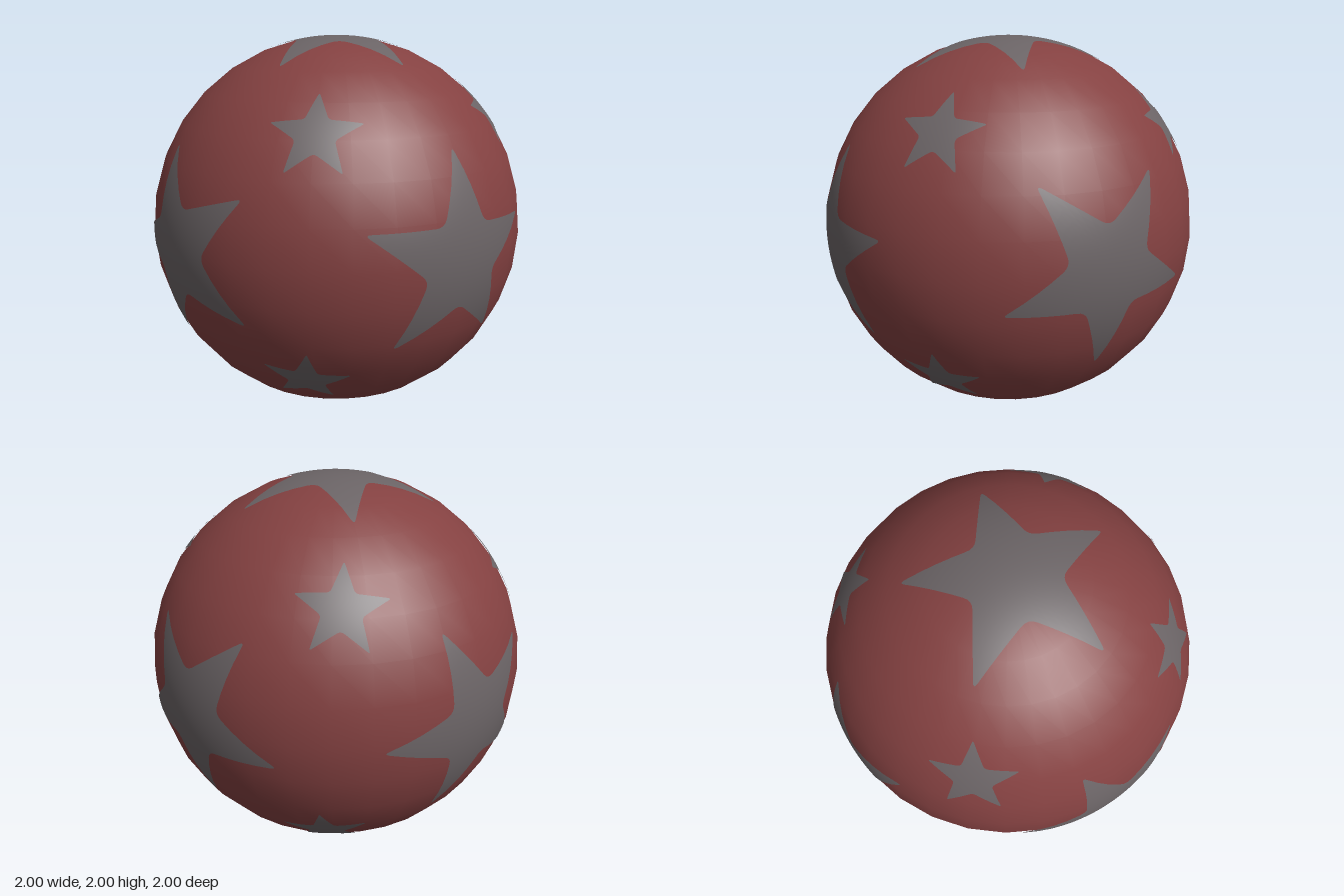
import * as THREE from 'three';

const red = new THREE.MeshStandardMaterial({ color: 0x844141 });
red.name = 'dull red';
const grey = new THREE.MeshStandardMaterial({ color: 0x6b6466 });
grey.name = 'warm grey';

// Five-pointed outline with softened tips and inner corners
function starOutline(radius, turn) {
  const corners = [];
  for (let i = 0; i < 10; i++) {
    const a = THREE.MathUtils.degToRad(turn + i * 36);
    const r = radius * (i % 2 ? 0.43 : 1.04);
    corners.push(new THREE.Vector2(Math.cos(a) * r, Math.sin(a) * r));
  }
  const points = [];
  corners.forEach((c, i) => {
    const soft = i % 2 ? 0.12 : 0.09;
    const from = c.clone().lerp(corners[(i + 9) % 10], soft);
    const to = c.clone().lerp(corners[(i + 1) % 10], soft);
    points.push(...new THREE.QuadraticBezierCurve(from, c, to).getPoints(4));
    // intermediate points keep the long edges on the ball
    for (const t of [0.3, 0.5, 0.7]) points.push(c.clone().lerp(corners[(i + 1) % 10], t));
  });
  return points;
}

// Star patch wrapped on the ball; turn is measured in the tangent plane from local right
function starPatch(direction, radius, turn, up) {
  const n = new THREE.Vector3(...direction).normalize();
  const right = new THREE.Vector3(...up).cross(n).normalize();
  const top = n.clone().cross(right);
  const outline = starOutline(radius, turn);
  const rings = 8, count = outline.length, skin = 1.002;
  const positions = [], normals = [], index = [];
  for (let k = 0; k <= rings; k++) {
    for (const p of outline) {
      const u = p.x * k / rings, v = p.y * k / rings;
      const q = n.clone().multiplyScalar(Math.sqrt(1 - u * u - v * v))
        .addScaledVector(right, u).addScaledVector(top, v);
      normals.push(q.x, q.y, q.z);
      positions.push(q.x * skin, q.y * skin, q.z * skin);
    }
  }
  for (let k = 0; k < rings; k++) {
    for (let i = 0; i < count; i++) {
      const j = (i + 1) % count;
      const a = k * count + i, b = k * count + j, c = a + count, d = b + count;
      if (k > 0) index.push(a, d, b);
      index.push(a, c, d);
    }
  }
  const g = new THREE.BufferGeometry();
  g.setAttribute('position', new THREE.Float32BufferAttribute(positions, 3));
  g.setAttribute('normal', new THREE.Float32BufferAttribute(normals, 3));
  g.setIndex(index);
  return new THREE.Mesh(g, grey);
}

export function createModel() {
  const model = new THREE.Group();
  model.name = 'starBall';

  const ball = new THREE.Mesh(new THREE.SphereGeometry(1, 32, 16), red);
  ball.name = 'ball';
  ball.position.y = 1;
  model.add(ball);

  const Y = [0, 1, 0];
  // name, centre direction, turn of one tip, local up
  const largeStars = [
    ['frontStar', [-0.034, -0.004, 1], 88.3, Y],
    ['backStar', [0.015, -0.02, -1], 38, Y],
    ['leftStar', [1, 0.021, -0.018], 55.4, Y],
    ['rightStar', [-1, 0, 0.01], 36, Y],
    ['topStar', [-0.016, 1, 0.018], 55.7, [0, 0, -1]],
    ['bottomStar', [0.005, -1, 0.015], -2, [0, 0, 1]],
  ];
  const smallStars = [
    ['upperFrontLeftStar', [0.504, 0.623, 0.598], 90, Y],
    ['upperFrontRightStar', [-0.573, 0.58, 0.58], 90, Y],
    ['upperBackLeftStar', [0.54, 0.59, -0.6], 86, Y],
    ['upperBackRightStar', [-0.6, 0.549, -0.582], 95, Y],
    ['lowerFrontLeftStar', [0.51, -0.6, 0.615], 88, Y],
    ['lowerFrontRightStar', [-0.594, -0.61, 0.524], 83, Y],
    ['lowerBackLeftStar', [0.578, -0.62, -0.531], 96, Y],
    ['lowerBackRightStar', [-0.57, -0.58, -0.58], 90, Y],
  ];
  for (const [list, radius] of [[largeStars, 0.495], [smallStars, 0.215]]) {
    for (const [name, direction, turn, up] of list) {
      const star = starPatch(direction, radius, turn, up);
      star.name = name;
      star.position.y = 1;
      model.add(star);
    }
  }
  return model;
}
